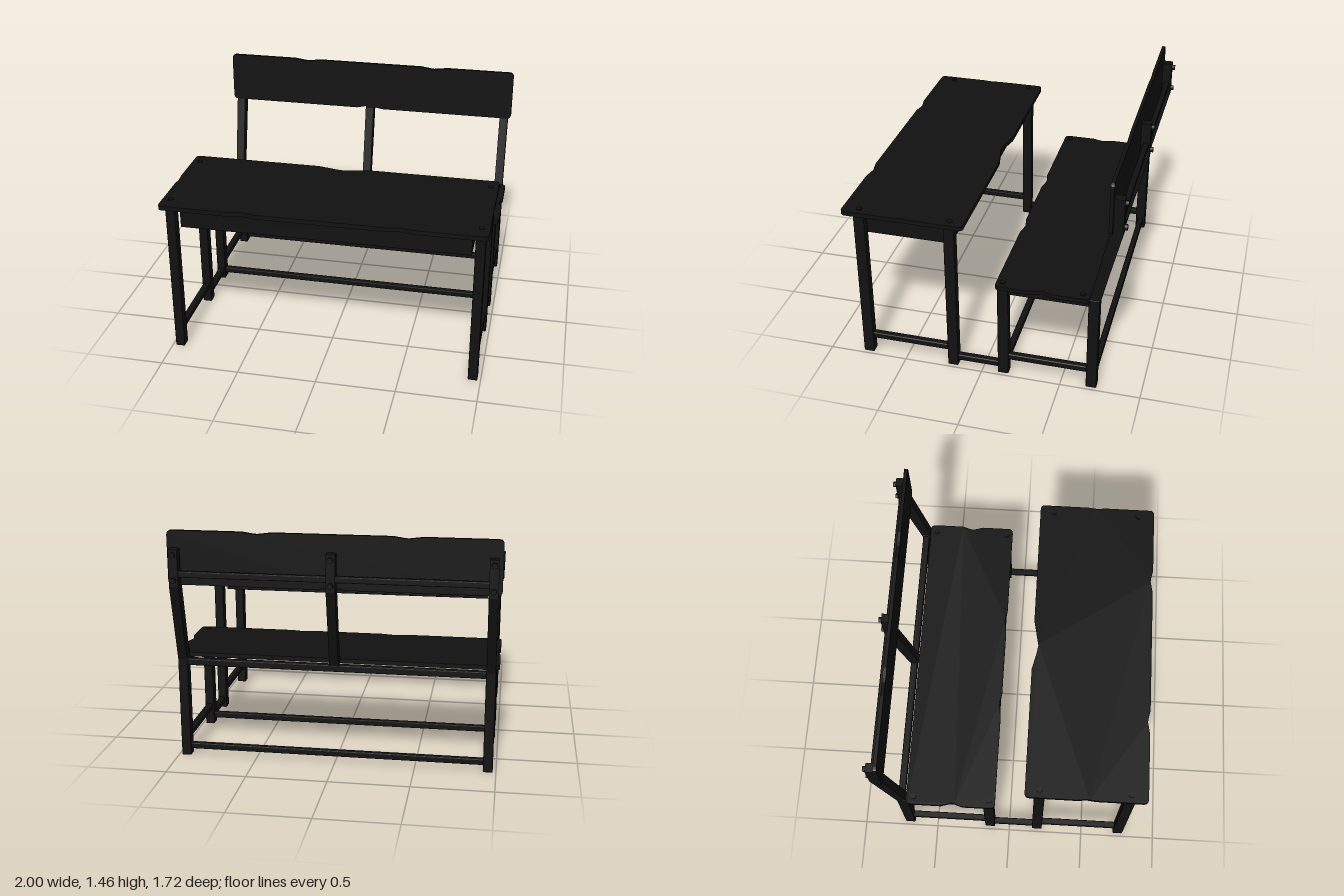
import * as THREE from 'three';
import { RoundedBoxGeometry } from 'three/addons/geometries/RoundedBoxGeometry.js';

export function createModel() {
  const model = new THREE.Group();
  model.name = 'schoolBenchDesk';
  const mat = new THREE.MeshStandardMaterial({ color: 0x111111 });

  const add = (name, geo, x = 0, y = 0, z = 0) => {
    const mesh = new THREE.Mesh(geo, mat);
    mesh.name = name;
    mesh.position.set(x, y, z);
    model.add(mesh);
    return mesh;
  };

  // Beam given by its extents on each axis
  const beam = (name, x0, x1, y0, y1, z0, z1, r = 0.006) =>
    add(name, new RoundedBoxGeometry(x1 - x0, y1 - y0, z1 - z0, 1, r),
      (x0 + x1) / 2, (y0 + y1) / 2, (z0 + z1) / 2);

  // Same beam on both sides
  const pair = (name, x0, x1, ...rest) => {
    beam(name + 'Left', x0, x1, ...rest);
    beam(name + 'Right', -x1, -x0, ...rest);
  };

  // Board outline with rounded corners and worn nicks [centre, half width, depth] on its edges
  const board = (w, v0, v1, t, low, high, sides) => {
    const s = new THREE.Shape(), h = w / 2, r = 0.03;
    const nick = (list, dir, point) => list
      .slice().sort((a, b) => dir * (a[0] - b[0]))
      .forEach(([c, half, d]) => {
        s.lineTo(...point(c - dir * half, 0));
        s.lineTo(...point(c - dir * half * 0.3, d * 0.8));
        s.lineTo(...point(c, d));
        s.lineTo(...point(c + dir * half, 0));
      });
    s.moveTo(-h + r, v0);
    nick(low, 1, (u, d) => [u, v0 + d]);
    s.lineTo(h - r, v0);
    s.quadraticCurveTo(h, v0, h, v0 + r);
    nick(sides, 1, (u, d) => [h - d, u]);
    s.lineTo(h, v1 - r);
    s.quadraticCurveTo(h, v1, h - r, v1);
    nick(high, -1, (u, d) => [u, v1 - d]);
    s.lineTo(-h + r, v1);
    s.quadraticCurveTo(-h, v1, -h, v1 - r);
    nick(sides, -1, (u, d) => [-h + d, u]);
    s.lineTo(-h, v0 + r);
    s.quadraticCurveTo(-h, v0, -h + r, v0);
    return new THREE.ExtrudeGeometry(s, { depth: t, bevelEnabled: false, curveSegments: 4 });
  };

  // Desk top and seat lie flat, backrest stands upright
  add('deskTop', board(2, 0.1, 0.86, 0.028, [[0, 0.17, 0.035]],
    [[-0.48, 0.08, 0.015], [0.48, 0.08, 0.015]], [[0.48, 0.06, 0.006]])
    .rotateX(Math.PI / 2), 0, 1.047);
  add('seat', board(2, -0.665, -0.09, 0.027, [],
    [[-0.3, 0.08, 0.015], [0.3, 0.08, 0.015]], [[-0.37, 0.07, 0.02]])
    .rotateX(Math.PI / 2), 0, 0.668);
  add('backrest', board(2, 1.13, 1.463, 0.022, [[0, 0.09, 0.018]],
    [[-0.45, 0.09, 0.012], [0.45, 0.09, 0.012]], []), 0, 0, -0.782);

  // Legs
  pair('deskFrontLeg', 0.92, 0.98, 0, 1.02, 0.72, 0.788);
  pair('deskRearLeg', 0.92, 0.98, 0, 1.02, 0.158, 0.225);
  pair('benchFrontLeg', 0.92, 0.98, 0, 0.642, -0.168, -0.1);
  pair('benchRearLeg', 0.92, 0.98, 0, 0.655, -0.725, -0.658);

  // Side stretchers, floor links and long stretchers
  pair('deskSideStretcher', 0.93, 0.97, 0.105, 0.145, 0.2, 0.74);
  pair('benchSideStretcher', 0.93, 0.97, 0.105, 0.145, -0.68, -0.14);
  pair('floorLink', 0.93, 0.97, 0.037, 0.077, -0.13, 0.18);
  beam('benchFrontStretcher', -0.93, 0.93, 0.04, 0.078, -0.155, -0.115);
  beam('benchRearStretcher', -0.93, 0.93, 0.04, 0.078, -0.71, -0.672);

  // Seat frame
  pair('seatSideRail', 0.925, 0.975, 0.6, 0.642, -0.68, -0.14);
  beam('seatFrontRail', -0.93, 0.93, 0.6, 0.642, -0.155, -0.115);
  beam('seatRearRail', -0.93, 0.93, 0.6, 0.642, -0.72, -0.675);

  // Storage tray, open towards the seat
  beam('trayBottom', -0.9, 0.9, 0.857, 0.872, 0.2, 0.75, 0.003);
  beam('trayFront', -0.9, 0.9, 0.857, 1.02, 0.735, 0.75, 0.003);
  pair('traySide', 0.885, 0.9, 0.857, 1.02, 0.2, 0.75, 0.003);

  // Back posts: sloped, then upright behind the backrest
  const profile = new THREE.Shape([
    [-0.66, 0.64], [-0.725, 0.64], [-0.842, 1.13], [-0.842, 1.357],
    [-0.765, 1.357], [-0.765, 1.13],
  ].map(([z, y]) => new THREE.Vector2(-z, y)));
  const postGeo = new THREE.ExtrudeGeometry(profile, { depth: 0.056, bevelEnabled: false })
    .translate(0, 0, -0.028).rotateY(Math.PI / 2);
  const bolt = new THREE.CylinderGeometry(0.018, 0.018, 0.022, 8);
  const boltBack = bolt.clone().rotateX(Math.PI / 2);
  for (const x of [-0.95, 0, 0.95]) {
    add('backPost', postGeo, x);
    for (const y of [1.17, 1.325]) add('backBolt', boltBack, x, y, -0.85);
  }
  beam('backRail', -0.96, 0.96, 1.185, 1.222, -0.832, -0.797);

  // Bolt heads on the boards
  for (const x of [-0.95, 0.95]) {
    for (const z of [0.19, 0.755]) add('deskBolt', bolt, x, 1.042, z);
    for (const z of [-0.13, -0.62]) add('seatBolt', bolt, x, 0.664, z);
  }
  return model;
}
